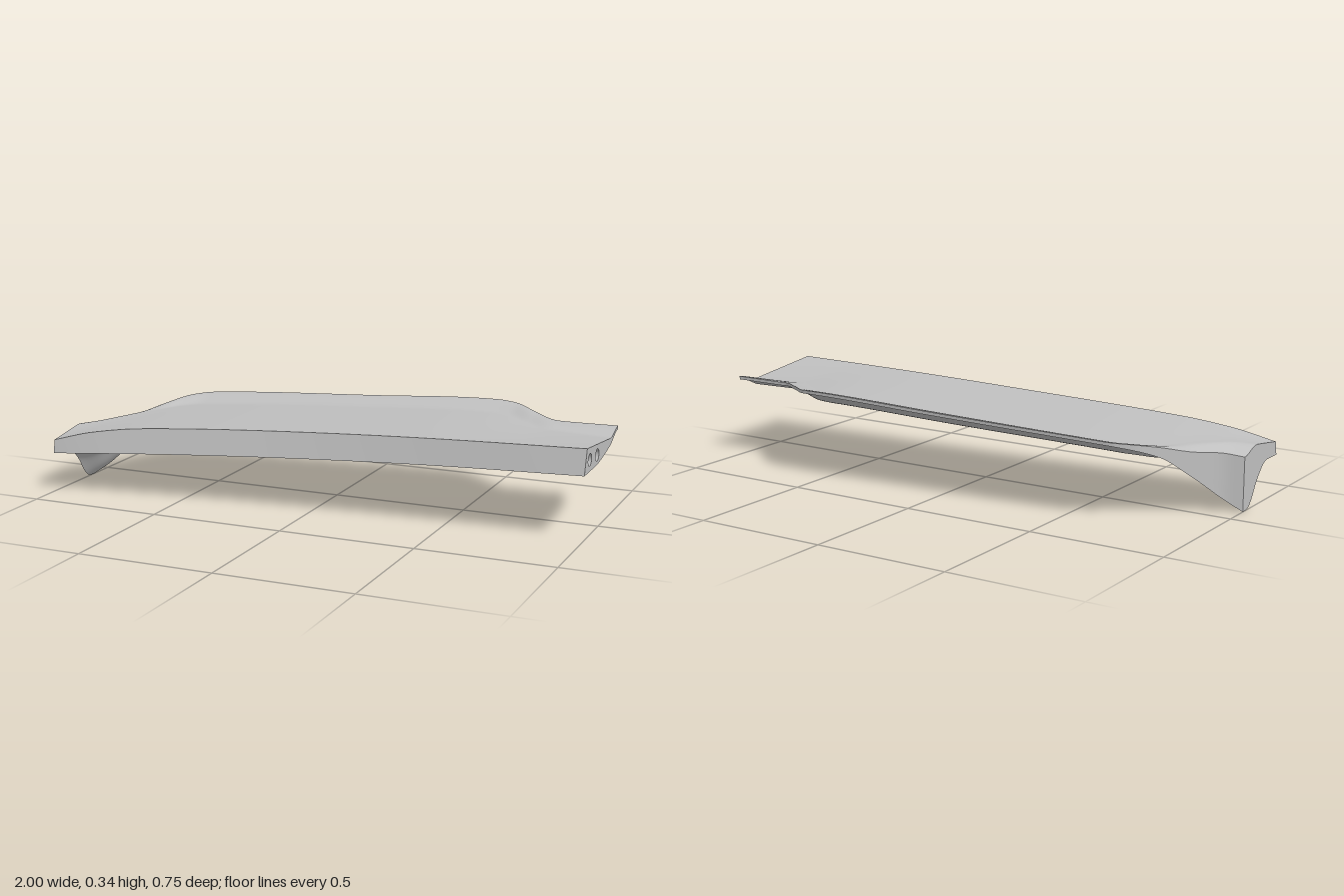
import * as THREE from 'three';

// Smooth curve through [x, value] keys, with limited slopes so it never overshoots
function curve(keys) {
  const d = keys.slice(1).map((k, i) => (k[1] - keys[i][1]) / (k[0] - keys[i][0]));
  const m = keys.map((k, i) => {
    if (i === 0) return d[0];
    if (i === keys.length - 1) return d[i - 1];
    return d[i - 1] * d[i] <= 0 ? 0 : (2 * d[i - 1] * d[i]) / (d[i - 1] + d[i]);
  });
  return (x) => {
    let i = 0;
    while (i < keys.length - 2 && x > keys[i + 1][0]) i++;
    const [x0, a] = keys[i], [x1, b] = keys[i + 1];
    const h = x1 - x0, t = (x - x0) / h, t2 = t * t, t3 = t2 * t;
    return a * (2 * t3 - 3 * t2 + 1) + b * (3 * t2 - 2 * t3)
      + h * (m[i] * (t3 - 2 * t2 + t) + m[i + 1] * (t3 - t2));
  };
}

// Front face edges
const frontLowZ = curve([[-1, 0.375], [-0.5, 0.317], [0, 0.27], [0.5, 0.236], [1, 0.212]]);
const frontLowY = curve([[-1, 0.15], [-0.5, 0.181], [0, 0.206], [0.5, 0.225], [1, 0.237]]);
const frontTopZ = curve([[-1, 0.365], [-0.85, 0.336], [-0.66, 0.307], [0, 0.243], [1, 0.187]]);
const frontTopY = curve([[-1, 0.2], [-0.85, 0.237], [-0.66, 0.262], [0, 0.298], [0.5, 0.316], [1, 0.327]]);
// Rear edge: outline, top height and thickness
const rearZ = curve([[-1, 0.1], [-0.94, 0.06], [-0.87, -0.04], [-0.8, -0.145], [-0.74, -0.23], [-0.66, -0.278],
  [0, -0.345], [0.5, -0.379], [0.57, -0.368], [0.67, -0.295], [0.78, -0.227], [1, -0.233]]);
const rearY = curve([[-1, 0.2], [-0.94, 0.214], [-0.87, 0.23], [-0.8, 0.258], [-0.74, 0.277], [-0.66, 0.286],
  [0, 0.317], [0.5, 0.338], [0.6, 0.333], [0.7, 0.321], [0.8, 0.314], [1, 0.315]]);
const rearThick = curve([[-1, 0.197], [-0.94, 0.164], [-0.87, 0.09], [-0.8, 0.036], [-0.74, 0.02], [-0.66, 0.012], [1, 0.012]]);
// Surface heights just ahead of the raised rear lip
const deckY = curve([[-1, 0.232], [-0.9, 0.24], [-0.8, 0.247], [-0.66, 0.257], [0, 0.292], [0.5, 0.31], [0.75, 0.3], [1, 0.29]]);
const underY = curve([[-1, 0.003], [-0.94, 0.05], [-0.87, 0.138], [-0.8, 0.205], [-0.66, 0.237], [0, 0.265], [0.5, 0.285], [1, 0.275]]);

const { smoothstep, lerp } = THREE.MathUtils;

// Deck, s runs front to rear
function topPoint(x, s) {
  const z = lerp(frontTopZ(x), rearZ(x), s);
  const base = lerp(frontTopY(x), deckY(x), Math.min(1, s * 1.25));
  const lip = 1 - smoothstep(z - rearZ(x), 0, 0.11);
  return [x, lerp(base, rearY(x), lip), z];
}

// Underside, s runs rear to front
function underPoint(x, s) {
  const z = lerp(rearZ(x), frontLowZ(x), s);
  const base = lerp(frontLowY(x), underY(x), smoothstep(1 - s, 0.3, 1));
  const lip = 1 - smoothstep(z - rearZ(x), 0, 0.11);
  return [x, lerp(base, rearY(x) - rearThick(x), lip), z];
}

const frontPoint = (x, s) =>
  [x, lerp(frontLowY(x), frontTopY(x), s), lerp(frontLowZ(x), frontTopZ(x), s)];
const rearPoint = (x, s) => [x, rearY(x) - rearThick(x) * s, rearZ(x)];

// Smooth strip over the whole length
function strip(point, rows, cols = 160) {
  const pos = [], idx = [];
  for (let i = 0; i <= cols; i++) {
    for (let j = 0; j <= rows; j++) pos.push(...point(-1 + (2 * i) / cols, j / rows));
  }
  for (let i = 0; i < cols; i++) {
    for (let j = 0; j < rows; j++) {
      const a = i * (rows + 1) + j, b = a + rows + 1;
      idx.push(a, b, a + 1, b, b + 1, a + 1);
    }
  }
  const g = new THREE.BufferGeometry();
  g.setAttribute('position', new THREE.Float32BufferAttribute(pos, 3));
  g.setIndex(idx);
  g.computeVertexNormals();
  return g;
}

// Outline of one end; sign turns z into the shape's own x
function endShape(x, sign) {
  const pts = [];
  for (const f of [underPoint, frontPoint, topPoint, rearPoint]) {
    for (let j = 0; j < 48; j++) {
      const p = f(x, j / 48);
      pts.push(new THREE.Vector2(sign * p[2], p[1]));
    }
  }
  return new THREE.Shape(pts);
}

export function createModel() {
  const group = new THREE.Group();
  const grey = new THREE.MeshStandardMaterial({ color: 0xbfbfbf });
  grey.name = 'grey';
  const add = (name, geometry) => {
    const mesh = new THREE.Mesh(geometry, grey);
    mesh.name = name;
    group.add(mesh);
    return mesh;
  };

  // Long surfaces
  add('deck', strip(topPoint, 48));
  add('underside', strip(underPoint, 48));
  add('frontFace', strip(frontPoint, 2));
  add('rearEdge', strip(rearPoint, 4));

  // End faces, the left one drilled twice
  const leftShape = endShape(1, -1);
  const radius = 0.022, depth = 0.06;
  for (const [z, y] of [[0.147, 0.279], [0.05, 0.273]]) {
    leftShape.holes.push(new THREE.Path().absarc(-z, y, radius, 0, Math.PI * 2, true));

    // Bore wall, turned inside out, and its floor
    const wall = new THREE.CylinderGeometry(radius, radius, depth, 32, 1, true);
    wall.rotateZ(Math.PI / 2);
    wall.index.array.reverse();
    const n = wall.attributes.normal;
    for (let i = 0; i < n.count; i++) n.setXYZ(i, -n.getX(i), -n.getY(i), -n.getZ(i));
    add('holeWall', wall).position.set(1 - depth / 2, y, z);
    const floor = add('holeFloor', new THREE.CircleGeometry(radius, 32));
    floor.rotation.y = Math.PI / 2;
    floor.position.set(1 - depth, y, z);
  }
  const leftEnd = add('leftEnd', new THREE.ShapeGeometry(leftShape, 32));
  leftEnd.rotation.y = Math.PI / 2;
  leftEnd.position.x = 1;
  const rightEnd = add('rightEnd', new THREE.ShapeGeometry(endShape(-1, 1)));
  rightEnd.rotation.y = -Math.PI / 2;
  rightEnd.position.x = -1;

  return group;
}
